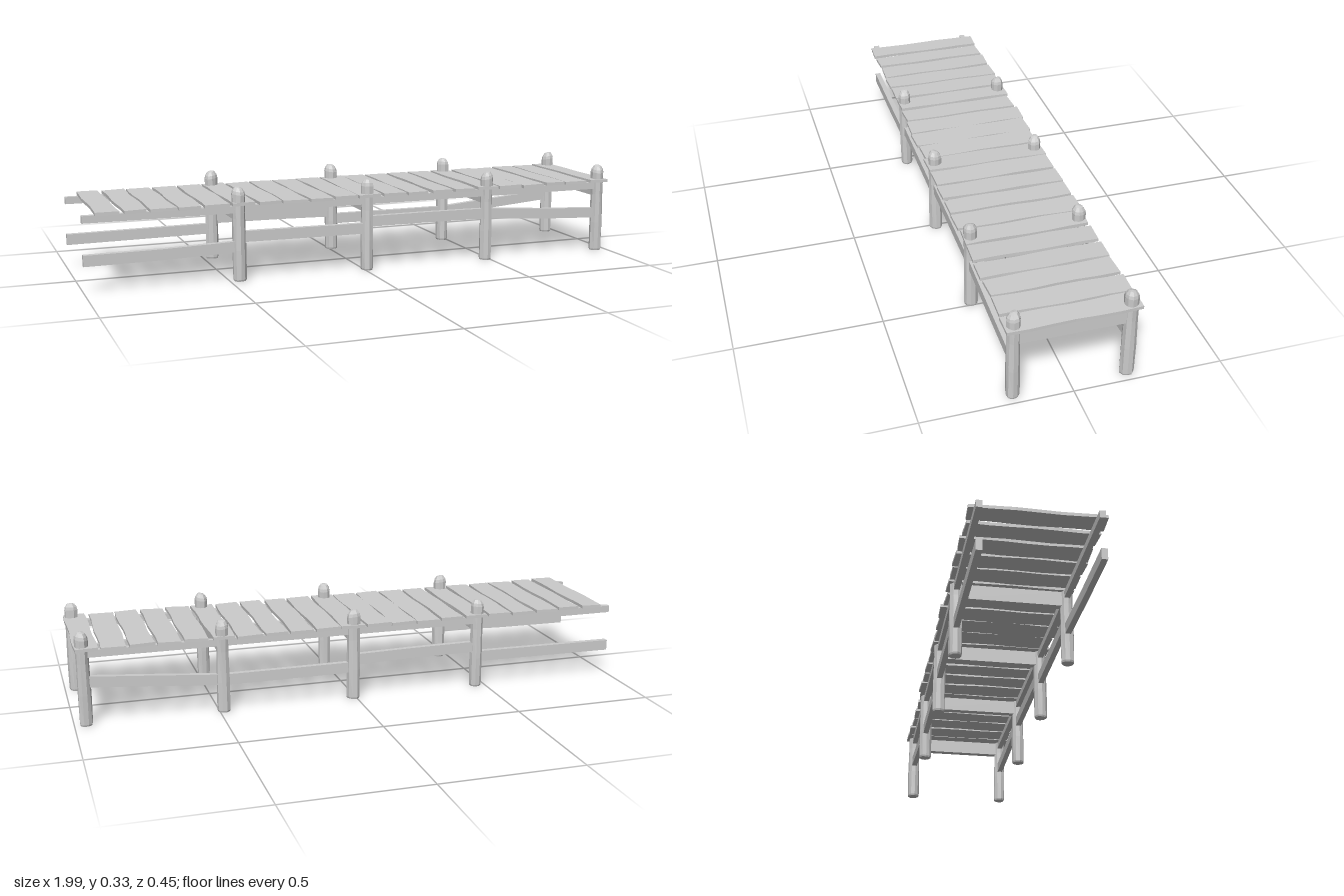
import * as THREE from 'three';

const wood = new THREE.MeshStandardMaterial({ color: 0xcccccc, flatShading: true });

// Small seeded generator giving values in -1..1
function makeRandom(seed) {
  let s = seed;
  return () => {
    s = (s * 16807) % 2147483647;
    return (s / 2147483647) * 2 - 1;
  };
}

function add(parent, name, geometry, x = 0, y = 0, z = 0) {
  const mesh = new THREE.Mesh(geometry, wood);
  mesh.name = name;
  mesh.position.set(x, y, z);
  parent.add(mesh);
  return mesh;
}

// Moves every vertex by a rule; vertices at the same place move together
function warp(geometry, rule) {
  const p = geometry.attributes.position;
  const v = new THREE.Vector3();
  for (let i = 0; i < p.count; i++) {
    rule(v.fromBufferAttribute(p, i));
    p.setXYZ(i, v.x, v.y, v.z);
  }
  geometry.computeVertexNormals();
  return geometry;
}

// Roughly hewn round post with a chamfered top
function postGeometry(phase) {
  const profile = [[0, 0], [0.021, 0], [0.023, 0.006], [0.0235, 0.11], [0.022, 0.22],
    [0.0235, 0.307], [0.021, 0.318], [0.013, 0.33], [0, 0.33]]
    .map(([r, y]) => new THREE.Vector2(r, y));
  return warp(new THREE.LatheGeometry(profile, 9), (v) => {
    const a = Math.atan2(v.z, v.x);
    const k = 1 + 0.06 * Math.sin(3 * a + phase + v.y * 9) + 0.03 * Math.cos(2 * a - phase);
    v.x *= k;
    v.z *= k;
    if (v.y > 0.3) v.y -= 0.003 * (1 + Math.sin(a + phase)) * Math.min(1, Math.hypot(v.x, v.z) / 0.01);
  });
}

// Beam along x whose centre height follows a list of [x, y] points
function bentBeam(path, height, depth) {
  const geometry = new THREE.BoxGeometry(1, height, depth, path.length - 1, 1, 1);
  return warp(geometry, (v) => {
    const [x, y] = path[Math.round((v.x + 0.5) * (path.length - 1))];
    v.x = x;
    v.y += y;
  });
}

export function createModel() {
  const pier = new THREE.Group();
  pier.name = 'pier';
  const rand = makeRandom(4711);
  const rows = [-0.465, 0.01, 0.485, 0.96];

  // Posts in pairs, each pair joined by a cross beam under the deck
  rows.forEach((x, i) => {
    for (const side of [1, -1]) {
      add(pier, side > 0 ? 'frontPost' : 'backPost', postGeometry(i * 1.7 + side), x, 0, side * 0.19);
    }
    add(pier, 'crossBeam', new THREE.BoxGeometry(0.026, 0.053, 0.37), x, 0.2385, 0);
  });

  // Stringers carrying the deck
  for (const side of [1, -1]) {
    add(pier, side > 0 ? 'frontStringer' : 'backStringer',
      new THREE.BoxGeometry(1.975, 0.025, 0.02), -0.0125, 0.2525, side * 0.19);
  }

  // Lower side rails, bending a little from post to post
  const frontRail = [[-1, 0.113], [-0.73, 0.115], [-0.48, 0.122], [-0.44, 0.156], [-0.2, 0.154],
    [0, 0.153], [0.03, 0.177], [0.25, 0.177], [0.48, 0.175], [0.72, 0.158], [0.97, 0.146]];
  const backRail = [[-1, 0.11], [-0.73, 0.112], [-0.48, 0.114], [-0.44, 0.152], [-0.2, 0.15],
    [0, 0.146], [0.03, 0.118], [0.25, 0.117], [0.48, 0.117], [0.72, 0.137], [0.97, 0.157]];
  add(pier, 'frontRail', bentBeam(frontRail, 0.038, 0.02), 0, 0, 0.19);
  add(pier, 'backRail', bentBeam(backRail, 0.038, 0.02), 0, 0, -0.19);

  // Deck planks, each slightly crooked and uneven in width and length
  const deck = new THREE.Group();
  deck.name = 'deck';
  pier.add(deck);
  const count = 21;
  const pitch = 1.96 / count;
  for (let i = 0; i < count; i++) {
    const width = pitch - 0.011 + 0.006 * rand();
    const length = 0.434 + 0.008 * rand();
    const phase = 3 * rand();
    const geometry = warp(new THREE.BoxGeometry(width, 0.011, length, 1, 1, 6), (v) => {
      v.x += 0.0025 * Math.sin(v.z * 22 + phase + Math.sign(v.x));
      v.z += Math.sign(v.x) * (Math.abs(v.z) > 0.2 ? 0.002 * Math.sin(phase) : 0);
    });
    const plank = add(deck, 'plank', geometry,
      -0.965 + pitch * (i + 0.5), 0.2715 + 0.0015 * rand(), 0.003 * rand());
    plank.rotation.set(0, 0.012 * rand(), 0.03 * rand());
  }
  return pier;
}
